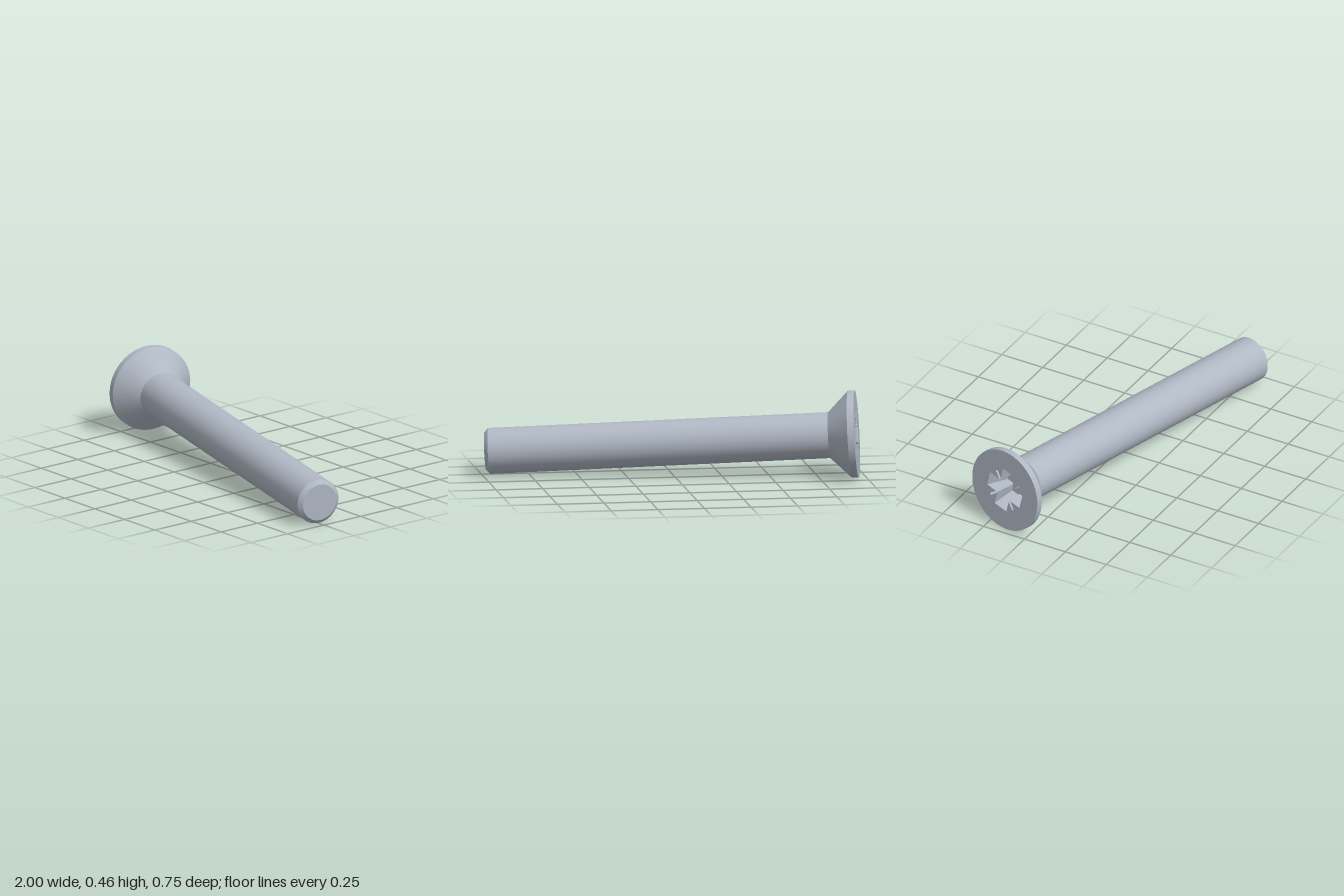
import * as THREE from 'three';
import { mergeGeometries } from 'three/addons/utils/BufferGeometryUtils.js';

const SIDES = 40;
const HEAD_R = 0.2316, SHAFT_R = 0.122, TIP_R = 0.1;
const RIM = 0.036, NECK = 0.146, CHAMFER = 0.02, DEPTH = 0.12;

// Cross outline with a narrow diagonal notch in each inner corner, counter-clockwise
function crossOutline(reach, half, notch, slit) {
  const quadrant = [
    [reach, half], [half + slit, half], [notch + slit, notch],
    [notch, notch + slit], [half, half + slit], [half, reach],
  ];
  const pts = [];
  for (let k = 0; k < 4; k++) {
    for (const [x, y] of quadrant) {
      pts.push(new THREE.Vector2(x, y).rotateAround(new THREE.Vector2(), k * Math.PI / 2));
    }
  }
  return pts;
}

// Tapered walls and flat floor of the driver recess, opening towards +z
function recessGeometry(top, floor, depth) {
  const pos = [];
  const put = (p, z) => pos.push(p.x, p.y, z);
  top.forEach((a, i) => {
    const j = (i + 1) % top.length;
    put(a, 0); put(top[j], 0); put(floor[j], -depth);
    put(a, 0); put(floor[j], -depth); put(floor[i], -depth);
  });
  const walls = new THREE.BufferGeometry();
  walls.setAttribute('position', new THREE.Float32BufferAttribute(pos, 3));
  walls.computeVertexNormals();
  const base = new THREE.ShapeGeometry(new THREE.Shape(floor)).toNonIndexed();
  base.deleteAttribute('uv');
  base.translate(0, 0, -depth);
  return mergeGeometries([walls, base]);
}

export function createModel() {
  const steel = new THREE.MeshStandardMaterial({ color: 0xb0b8c4 });
  steel.name = 'steel';

  const screw = new THREE.Group();
  screw.name = 'screw';
  const add = (name, geometry) => {
    const mesh = new THREE.Mesh(geometry, steel);
    mesh.name = name;
    screw.add(mesh);
  };

  // End points of the screw's axis: head face centre and tip centre
  const head = new THREE.Vector3(-0.95, 0.234, -0.149);
  const tip = new THREE.Vector3(0.978, 0.123, 0.261);
  const length = head.distanceTo(tip);

  // Open bands along local +y, each smooth with sharp edges between them
  const band = (name, y0, y1, r0, r1) => {
    const g = new THREE.CylinderGeometry(r1, r0, y1 - y0, SIDES, 1, true);
    add(name, g.translate(0, (y0 + y1) / 2, 0));
  };
  band('headRim', 0, RIM, HEAD_R, HEAD_R);
  band('countersink', RIM, NECK, HEAD_R, SHAFT_R);
  band('shaft', NECK, length - CHAMFER, SHAFT_R, SHAFT_R);
  band('tipChamfer', length - CHAMFER, length, SHAFT_R, TIP_R);
  add('tipFace', new THREE.CircleGeometry(TIP_R, SIDES).rotateX(-Math.PI / 2).translate(0, length, 0));

  // Head face with the cross-shaped recess cut into it
  const opening = crossOutline(0.118, 0.042, 0.078, 0.01);
  const floor = crossOutline(0.08, 0.034, 0.037, 0.005);
  const rim = [];
  for (let i = 0; i < SIDES; i++) {
    const a = (i / SIDES) * Math.PI * 2;
    rim.push(new THREE.Vector2(Math.cos(a) * HEAD_R, Math.sin(a) * HEAD_R));
  }
  const face = new THREE.Shape(rim);
  face.holes.push(new THREE.Path(opening));
  add('headFace', new THREE.ShapeGeometry(face).rotateX(Math.PI / 2));
  add('driverRecess', recessGeometry(opening, floor, DEPTH).rotateX(Math.PI / 2));

  // Lay the screw along its axis
  const direction = tip.clone().sub(head).normalize();
  screw.quaternion.setFromUnitVectors(new THREE.Vector3(0, 1, 0), direction);
  screw.position.copy(head);

  const model = new THREE.Group();
  model.name = 'countersunkScrew';
  model.add(screw);
  return model;
}
